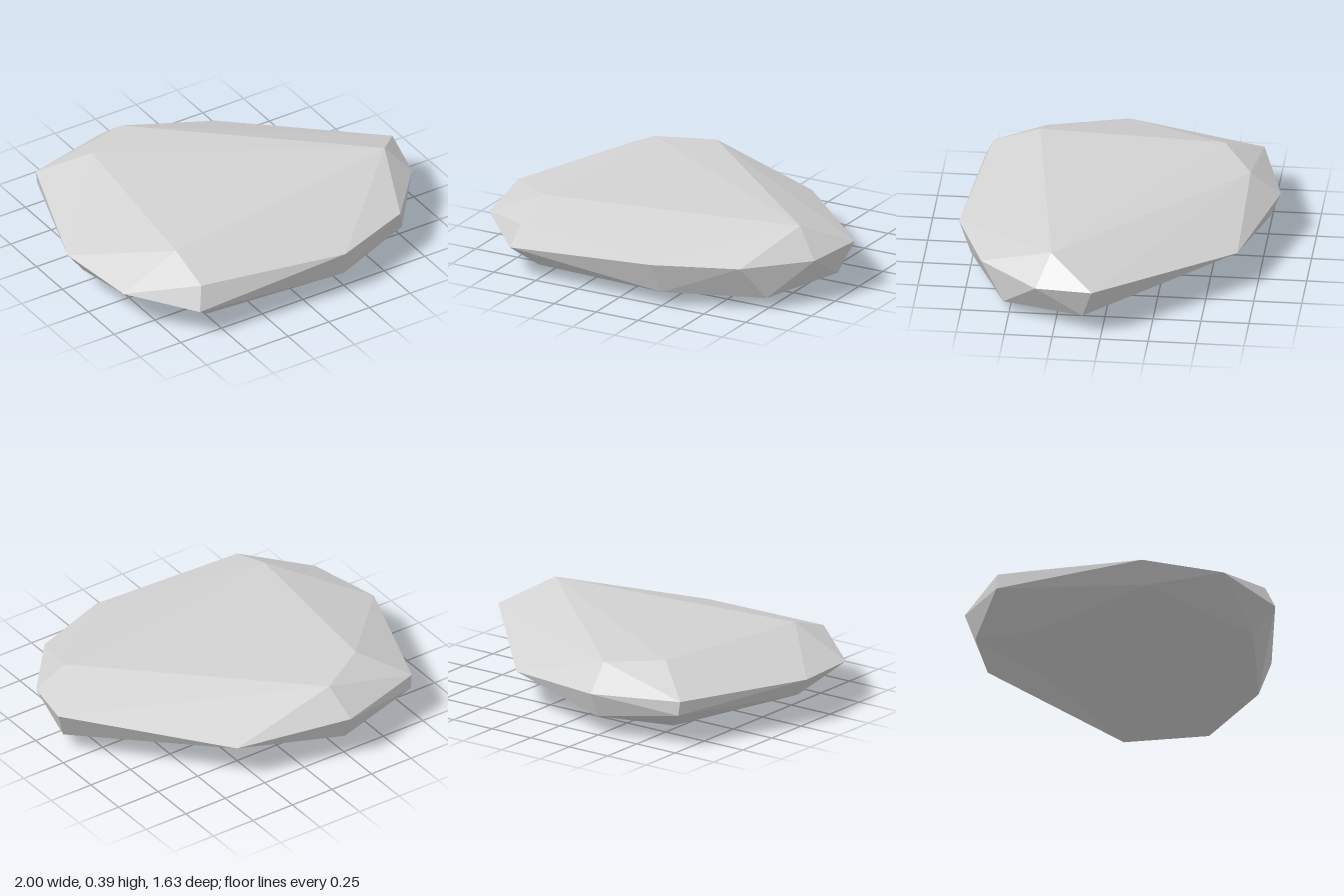
import * as THREE from 'three';
import { ConvexGeometry } from 'three/addons/geometries/ConvexGeometry.js';

// Flat faceted stone: the convex skin around four rings of corners.
const crown = [
  [-0.5, 0.39, -0.5], [-0.22, 0.37, -0.66], [0.805, 0.388, 0.275],
  [-0.605, 0.365, 0.475], [-0.605, 0.285, 0.72],
];
const rim = [
  [-1, 0.24, 0.05], [-0.73, 0.255, -0.68], [-0.25, 0.24, -0.815],
  [0.355, 0.2, -0.65], [1, 0.265, 0.045], [0.93, 0.24, 0.345],
  [0.66, 0.245, 0.655], [0.22, 0.24, 0.815], [-0.645, 0.163, 0.77],
  [-0.93, 0.215, 0.48],
];
const underside = [
  [-0.92, 0.135, 0.08], [-0.72, 0.18, -0.685], [-0.25, 0.105, -0.76],
  [0.93, 0.095, 0.1], [0.75, 0.062, 0.53], [0.25, 0.075, 0.75],
  [-0.53, 0.055, 0.665],
];
const base = [[-0.035, 0, -0.375], [-0.53, 0.033, -0.47]];

export function createModel() {
  const stoneGrey = new THREE.MeshStandardMaterial({ color: 0xd2d2d2, flatShading: true });
  stoneGrey.name = 'stone grey';

  const corners = [...crown, ...rim, ...underside, ...base].map((p) => new THREE.Vector3(...p));
  const stone = new THREE.Mesh(new ConvexGeometry(corners), stoneGrey);
  stone.name = 'stone';

  const group = new THREE.Group();
  group.name = 'flatRock';
  group.add(stone);
  return group;
}
